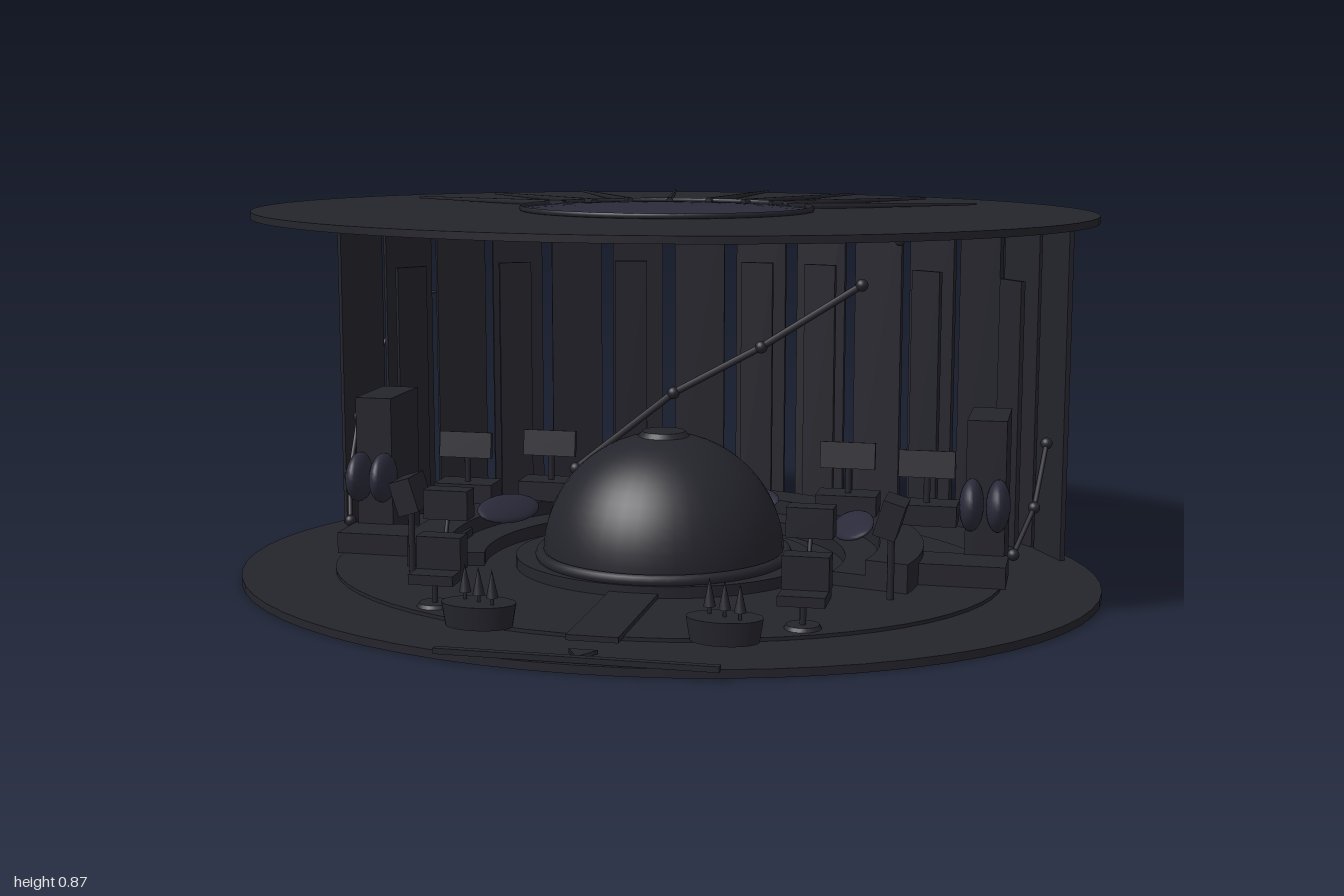
import * as THREE from 'three';

const dark = new THREE.MeshStandardMaterial({ color: 0x24242c });
const glass = new THREE.MeshStandardMaterial({ color: 0x2a2a3a });

export function createModel() {
  const model = new THREE.Group();

  const add = (name, geo, x = 0, y = 0, z = 0, mat = dark, parent = model) => {
    const m = new THREE.Mesh(geo, mat);
    m.name = name;
    m.position.set(x, y, z);
    parent.add(m);
    return m;
  };
  const box = (name, w, h, d, x, y, z, parent = model) =>
    add(name, new THREE.BoxGeometry(w, h, d), x, y, z, dark, parent);
  // Elliptical disc lying flat, bottom at y
  const disc = (name, rx, rz, h, y, z = 0, mat = dark) =>
    add(name, new THREE.CylinderGeometry(1, 1, h, 64).scale(rx, 1, rz), 0, y + h / 2, z, mat);
  const ball = (name, rx, ry, rz, x, y, z, mat = dark, parent = model) =>
    add(name, new THREE.SphereGeometry(1, 20, 14).scale(rx, ry, rz), x, y, z, mat, parent);
  // Straight rod between two points
  const rod = (name, a, b, r, parent = model) => {
    const p = new THREE.Vector3(...a), q = new THREE.Vector3(...b);
    const m = add(name, new THREE.CylinderGeometry(r, r, p.distanceTo(q), 8), 0, 0, 0, dark, parent);
    m.position.copy(p).lerp(q, 0.5);
    m.quaternion.setFromUnitVectors(new THREE.Vector3(0, 1, 0), q.clone().sub(p).normalize());
    return m;
  };
  // Jointed arm through several points
  const arm = (name, pts, r, joint) => {
    const g = new THREE.Group();
    g.name = name;
    model.add(g);
    pts.forEach((p, i) => {
      ball('joint', joint, joint, joint, ...p, dark, g);
      if (i) rod('armSegment', pts[i - 1], p, r, g);
    });
    return g;
  };

  // Floor, raised platform and entrance
  disc('floor', 1, 0.805, 0.018, 0);
  disc('platform', 0.78, 0.62, 0.008, 0.018);
  box('entranceStep', 0.58, 0.012, 0.016, 0, 0.026, 0.792);
  box('walkway', 0.11, 0.012, 0.36, 0, 0.03, 0.48);
  add('entranceMarker', new THREE.CylinderGeometry(0.035, 0.035, 0.008, 3), 0, 0.024, 0.745);

  // Roof with oval skylight
  disc('roof', 0.97, 0.77, 0.016, 0.835, -0.035);
  ball('skylight', 0.34, 0.014, 0.255, 0, 0.852, -0.015, glass);
  add('skylightRim', new THREE.TorusGeometry(1, 0.012, 8, 64).rotateX(Math.PI / 2).scale(0.335, 0.5, 0.29), 0, 0.857, -0.015);

  // Tapered roof ribs fanning over the back
  for (let k = 0; k < 8; k++) {
    const a = THREE.MathUtils.degToRad(25 + 18.9 * k);
    const len = 0.46;
    const rib = add('roofRib', new THREE.CylinderGeometry(0.003, 0.009, len, 6).rotateZ(-Math.PI / 2),
      Math.cos(a) * 0.52, 0.857, -Math.sin(a) * 0.52);
    rib.rotation.y = a;
  }

  // Wall slats around the back, set along an ellipse
  for (let i = -7; i < 7; i++) {
    const a = (i + 0.5) * 0.175;
    const slat = box('wallSlat', 0.134, 0.818, 0.012, 0.96 * Math.sin(a), 0.427, -0.796 * Math.cos(a));
    slat.rotation.y = -Math.atan2(0.79 * Math.sin(a), 0.97 * Math.cos(a));
  }
  // Shorter inner panels
  for (const a of [-0.98, -0.63, -0.28, 0.09, 0.28, 0.63, 0.98]) {
    const panel = box('innerPanel', 0.085, 0.65, 0.012, 0.92 * Math.sin(a), 0.345, -0.74 * Math.cos(a));
    panel.rotation.y = -Math.atan2(0.74 * Math.sin(a), 0.92 * Math.cos(a));
  }

  // Central dome on its base
  disc('domePlinth', 0.35, 0.31, 0.028, 0.024);
  add('domeCollar', new THREE.TorusGeometry(0.285, 0.014, 8, 48).rotateX(Math.PI / 2), 0, 0.06, 0.01);
  add('dome', new THREE.SphereGeometry(0.28, 40, 16, 0, Math.PI * 2, 0, Math.PI / 2), 0, 0.06, 0.01);
  add('domeCap', new THREE.CylinderGeometry(0.05, 0.06, 0.012, 24), 0, 0.339, 0.01);

  // Stepped bench curving behind the dome
  const bench = (name, inner, outer, h) => {
    const s = new THREE.Shape();
    s.absarc(0, 0, outer, -0.25, Math.PI + 0.25, false);
    s.absarc(0, 0, inner, Math.PI + 0.25, -0.25, true);
    const geo = new THREE.ExtrudeGeometry(s, { depth: h, bevelEnabled: false, curveSegments: 40 });
    add(name, geo.rotateX(-Math.PI / 2), 0, 0.022, 0);
  };
  bench('lowerBench', 0.42, 0.6, 0.035);
  bench('upperBench', 0.5, 0.6, 0.07);

  // Tilted oval displays over the bench
  for (const deg of [-70, -13, 13, 70]) {
    const a = THREE.MathUtils.degToRad(deg);
    const g = new THREE.Group();
    g.name = 'ovalDisplay';
    g.rotation.y = -a;
    g.position.set(Math.sin(a) * 0.45, 0.11, -Math.cos(a) * 0.4);
    ball('displayLens', 0.11, 0.014, 0.05, 0, 0, 0, glass, g).rotation.x = 0.5;
    model.add(g);
  }

  // Back consoles with raised screens
  for (const x of [-0.58, -0.38, 0.38, 0.58]) {
    const z = -0.5 + Math.abs(x) * 0.35;
    box('consoleDesk', 0.15, 0.05, 0.09, x, 0.115, z);
    rod('screenPost', [x, 0.1, z], [x, 0.22, z], 0.008);
    box('consoleScreen', 0.135, 0.065, 0.015, x, 0.235, z + 0.01).rotation.x = -0.15;
  }

  for (const s of [-1, 1]) {
    // Side cabinets with paired oval pods
    box('sideCabinet', 0.09, 0.365, 0.19, s * 0.735, 0.203, -0.145);
    box('cabinetFoot', 0.3, 0.05, 0.12, s * 0.64, 0.05, 0.0);
    for (const dx of [-0.03, 0.03])
      ball('pod', 0.028, 0.06, 0.065, s * 0.735 + dx, 0.195, -0.03, glass);
    arm('sideArm', [[s * 0.8, 0.08, -0.05], [s * 0.84, 0.17, -0.15], [s * 0.86, 0.3, -0.27]], 0.006, 0.014);
    box('sidePanel', 0.05, 0.08, 0.1, s * 0.55, 0.21, 0.2).rotation.z = s * -0.3;
    rod('sidePanelPost', [s * 0.55, 0.02, 0.2], [s * 0.55, 0.2, 0.2], 0.008);

    // Outer jointed arms
    const zo = s < 0 ? -0.02 : 0;
    arm('outerArm', [[s * 0.865, 0.37, -0.38 + zo], [s * 0.89, 0.43, -0.46 + zo], [s * 0.815, 0.58, -0.57 + zo]], 0.006, 0.013);
    rod('outerArmTip', [s * 0.83, 0.58, -0.565 + zo], [s * 0.77, 0.585, -0.6 + zo], 0.004);

    // Chair with pedestal, back and raised monitor
    const chair = new THREE.Group();
    chair.name = 'chair';
    chair.position.set(s * 0.4, 0, 0);
    model.add(chair);
    add('chairFoot', new THREE.CylinderGeometry(0.035, 0.04, 0.008, 16), 0, 0.03, 0.47, dark, chair);
    rod('chairPost', [0, 0.026, 0.47], [0, 0.08, 0.47], 0.007, chair);
    box('seat', 0.1, 0.022, 0.09, 0, 0.088, 0.455, chair);
    box('chairBack', 0.1, 0.075, 0.05, 0, 0.133, 0.42, chair);
    box('monitor', 0.1, 0.065, 0.05, 0, 0.23, 0.37, chair);
    rod('monitorPost', [0, 0.14, 0.4], [0, 0.21, 0.375], 0.005, chair);

    // Oval stand with small cones
    const x = s * 0.26;
    add('ovalStand', new THREE.CylinderGeometry(1, 0.9, 0.05, 28).scale(0.08, 1, 0.052), x, 0.05, 0.595);
    for (const dx of [-0.035, 0, 0.035]) {
      rod('conePost', [x + dx, 0.07, 0.595 + dx / 2], [x + dx, 0.1, 0.595 + dx / 2], 0.004);
      add('standCone', new THREE.ConeGeometry(0.013, 0.06, 10), x + dx, 0.12, 0.595 + dx / 2);
    }
  }

  // Long interior arm
  arm('interiorArm', [[-0.33, 0.16, -0.42], [-0.08, 0.36, -0.45], [0.14, 0.48, -0.48], [0.39, 0.64, -0.5]], 0.009, 0.016);

  // Curved rail below the ceiling
  const curve = new THREE.QuadraticBezierCurve3(new THREE.Vector3(-0.48, 0.75, -0.52),
    new THREE.Vector3(0, 0.87, -0.7), new THREE.Vector3(0.48, 0.75, -0.52));
  add('ceilingRail', new THREE.TubeGeometry(curve, 32, 0.006, 8));
  for (const t of [0, 0.25, 0.5, 0.75, 1]) {
    const p = curve.getPoint(t);
    ball('railLamp', 0.012, 0.012, 0.012, p.x, p.y, p.z);
  }

  return model;
}
